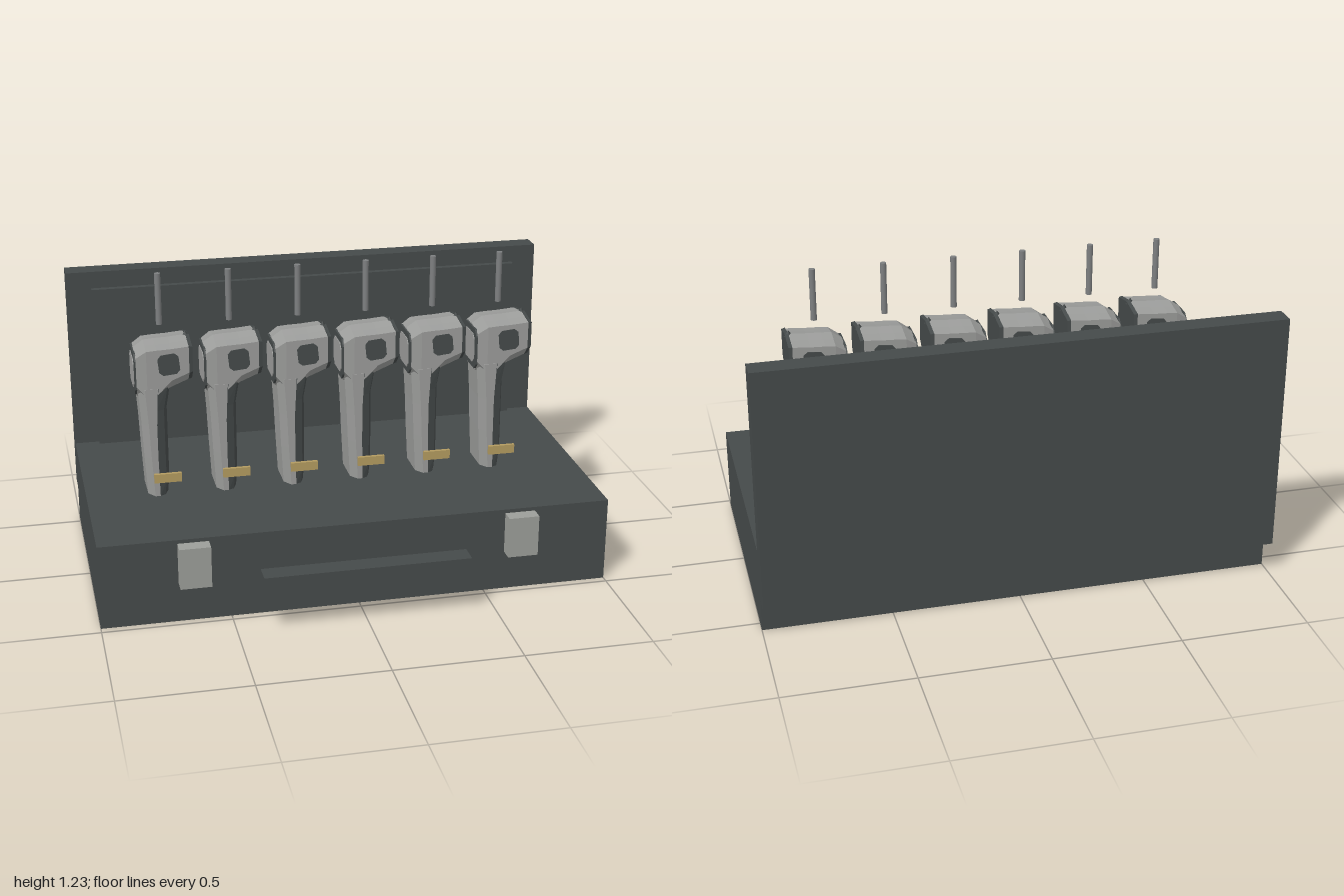
import * as THREE from 'three';

const mat = (name, color, side = THREE.FrontSide) => {
  const m = new THREE.MeshStandardMaterial({ color, side });
  m.name = name;
  return m;
};

// Skin between cross-sections (counter-clockwise about the travel direction), with flat facets.
function loft(sections) {
  const pos = [];
  const tri = (a, b, c) => pos.push(...a, ...b, ...c);
  const n = sections[0].length;
  for (let s = 0; s + 1 < sections.length; s++) {
    const a = sections[s], b = sections[s + 1];
    for (let i = 0; i < n; i++) {
      const j = (i + 1) % n;
      tri(a[i], a[j], b[j]);
      tri(a[i], b[j], b[i]);
    }
  }
  const first = sections[0], last = sections[sections.length - 1];
  for (let i = 1; i + 1 < n; i++) {
    tri(first[0], first[i + 1], first[i]);
    tri(last[0], last[i], last[i + 1]);
  }
  const g = new THREE.BufferGeometry();
  g.setAttribute('position', new THREE.Float32BufferAttribute(pos, 3));
  g.computeVertexNormals();
  return g;
}

// Head section at x: ridged roof, upright sides, chamfered underside.
const headSection = ([x, top, low, bottom, w = 0.098]) => [
  [x, top + 0.01, 0], [x, top, w * 0.5], [x, top - 0.008, w], [x, low, w], [x, bottom, w * 0.6],
  [x, bottom, -w * 0.6], [x, low, -w], [x, top - 0.008, -w], [x, top, -w * 0.5],
];

// Grip sections at height y: light rear shell and dark front insert.
const shellSection = ([y, rear, front]) => [
  [rear + 0.025, y, 0.1], [front, y, 0.1], [front, y, -0.1],
  [rear + 0.025, y, -0.1], [rear, y, -0.065], [rear, y, 0.065],
];
const insertSection = ([y, back, front]) => [
  [back, y, 0.099], [front - 0.015, y, 0.088], [front, y, 0.05],
  [front, y, -0.05], [front - 0.015, y, -0.088], [back, y, -0.099],
];

// Rounded plate in the xy plane
function plate(w, h, r, depth) {
  const s = new THREE.Shape();
  const x = w / 2, y = h / 2;
  s.moveTo(-x + r, -y);
  s.lineTo(x - r, -y); s.lineTo(x, -y + r);
  s.lineTo(x, y - r); s.lineTo(x - r, y);
  s.lineTo(-x + r, y); s.lineTo(-x, y - r);
  s.lineTo(-x, -y + r);
  s.closePath();
  return new THREE.ExtrudeGeometry(s, { depth, bevelEnabled: false }).translate(0, 0, -depth / 2);
}

export function createModel() {
  const model = new THREE.Group();
  model.name = 'toolCase';

  const dark = mat('charcoal', 0x454a4a);
  const shell = mat('light grey', 0x9b9c9a);
  const metal = mat('latch metal', 0x9c9e99);
  const steel = mat('pin steel', 0x7d7f80);
  const brass = mat('brass', 0xb39b60);

  const add = (parent, name, geometry, material, x = 0, y = 0, z = 0) => {
    const m = new THREE.Mesh(geometry, material);
    m.name = name;
    m.position.set(x, y, z);
    parent.add(m);
    return m;
  };
  // Box from its lower and upper limits
  const box = (parent, name, material, x0, x1, y0, y1, z0, z1) =>
    add(parent, name, new THREE.BoxGeometry(x1 - x0, y1 - y0, z1 - z0), material,
      (x0 + x1) / 2, (y0 + y1) / 2, (z0 + z1) / 2);

  // Case
  box(model, 'caseBase', dark, -1, 1, 0, 0.34, -0.55, 0.47);
  box(model, 'caseLid', dark, -1, 1, 0.14, 1.09, -0.635, -0.55);
  box(model, 'lidLining', dark, -0.9, 0.9, 0.34, 1.02, -0.55, -0.525);
  box(model, 'handle', dark, -0.4, 0.4, 0.13, 0.23, 0.555, 0.635);
  for (const s of [-1, 1]) {
    box(model, s < 0 ? 'rightLatch' : 'leftLatch', metal,
      s * 0.64 - 0.06, s * 0.64 + 0.06, 0.16, 0.325, 0.47, 0.525);
  }

  // Shared tool geometry, centred on the tool's own axis
  const headGeo = loft([
    [-0.105, 0.925, 0.8, 0.755, 0.09], [-0.065, 0.952, 0.755, 0.735], [-0.025, 0.955, 0.765, 0.745],
    [0.03, 0.957, 0.82, 0.78], [0.104, 0.963, 0.85, 0.81],
  ].map(headSection));
  const muzzleGeo = loft([
    [0.1, 0.965, 0.848, 0.808, 0.1], [0.114, 0.962, 0.852, 0.812, 0.097],
  ].map(headSection));
  const shellGeo = loft([
    [0.335, -0.075, -0.03], [0.5, -0.084, -0.033], [0.64, -0.09, -0.033], [0.79, -0.1, -0.025],
  ].map(shellSection));
  const insertGeo = loft([
    [0.335, -0.031, 0.005], [0.4, -0.033, 0.012], [0.7, -0.034, 0.012], [0.79, -0.026, 0.028],
  ].map(insertSection));
  const triggerGeo = loft([
    [[0.005, 0.67, 0.022], [0.022, 0.67, 0.022], [0.022, 0.67, -0.022], [0.005, 0.67, -0.022]],
    [[0.005, 0.77, 0.022], [0.032, 0.77, 0.022], [0.032, 0.77, -0.022], [0.005, 0.77, -0.022]],
  ]);
  const windowGeo = plate(0.082, 0.084, 0.015, 0.006);
  const rearFrameGeo = plate(0.176, 0.165, 0.025, 0.008).rotateY(-Math.PI / 2);
  const rearPanelGeo = plate(0.13, 0.12, 0.02, 0.006).rotateY(-Math.PI / 2);
  const sightGeo = new THREE.ConeGeometry(0.018, 0.025, 4);
  const pinGeo = new THREE.CylinderGeometry(0.012, 0.012, 0.205, 16);

  // Row of six tools
  for (let i = 0; i < 6; i++) {
    const tool = new THREE.Group();
    tool.name = 'tool' + (i + 1);
    tool.position.set((i - 2.5) * 0.2725, 0, -0.04);
    model.add(tool);

    add(tool, 'head', headGeo, shell);
    add(tool, 'muzzle', muzzleGeo, dark);
    add(tool, 'gripShell', shellGeo, shell);
    add(tool, 'gripInsert', insertGeo, dark);
    add(tool, 'trigger', triggerGeo, dark);
    add(tool, 'rearFrame', rearFrameGeo, dark, -0.107, 0.846, 0);
    add(tool, 'rearPanel', rearPanelGeo, shell, -0.111, 0.846, 0);
    add(tool, 'sight', sightGeo, dark, 0.1, 0.974, 0);
    for (const s of [-1, 1]) {
      const w = add(tool, 'sideWindow', windowGeo, dark, 0.021, 0.887, s * 0.097);
      w.rotation.z = 0.1;
    }
    add(tool, 'pin', pinGeo, steel, 0, 1.1225, 0);
    box(tool, 'namePlate', brass, -0.054, 0.054, 0.405, 0.441, 0.108, 0.122);
  }
  return model;
}
